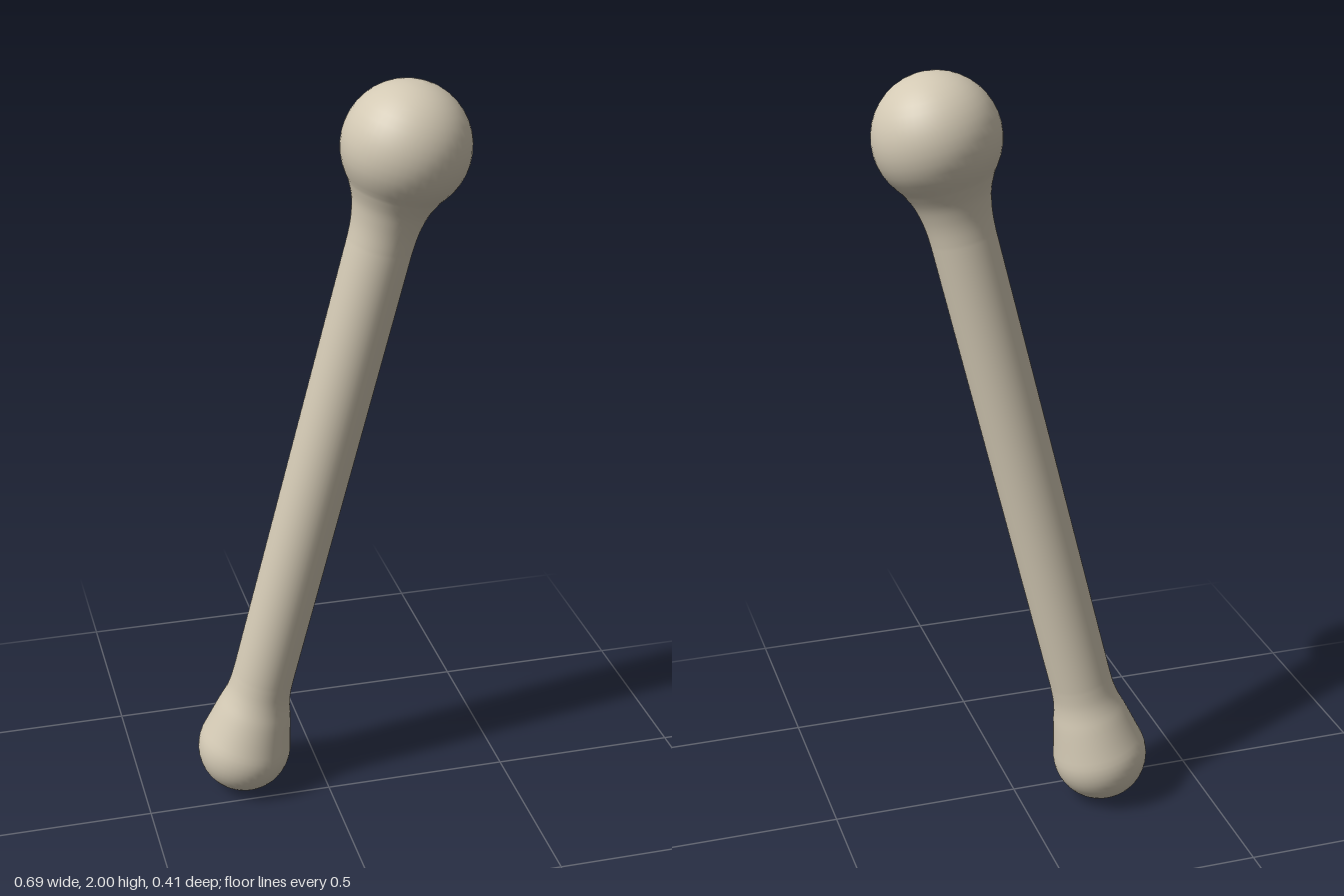
import * as THREE from 'three';

export function createModel() {
  const group = new THREE.Group();
  group.name = 'bone';
  const ivory = new THREE.MeshStandardMaterial({ color: 0xd3c9b4 });
  ivory.name = 'ivory';

  // centres and radii of the two knobs
  const low = new THREE.Vector3(-0.22, 0.127, -0.08), lowR = 0.127;
  const high = new THREE.Vector3(0.18, 1.84, 0.04), highR = 0.16;
  const axis = high.clone().sub(low);
  const length = axis.length();

  // profile along the axis, from the lower tip to the upper tip
  const profile = [];
  const arc = (r, y, from, to, steps = 14) => {
    for (let i = 0; i <= steps; i++) {
      const a = from + (to - from) * i / steps;
      profile.push(new THREE.Vector2(Math.max(0, r * Math.cos(a)), y + r * Math.sin(a)));
    }
  };
  const blend = points => {
    const curve = new THREE.SplineCurve(points.map(p => new THREE.Vector2(...p)));
    profile.push(...curve.getPoints(14));
  };

  // lower knob, flare into the shaft, flare out again, upper knob
  arc(lowR, 0, -Math.PI / 2, 0.3);
  blend([[0.116, 0.06], [0.102, 0.12], [0.091, 0.16], [0.085, 0.195], [0.083, 0.24]]);
  blend([[0.083, length - 0.26], [0.085, length - 0.22], [0.09, length - 0.185],
    [0.1, length - 0.147], [0.119, length - 0.108]]);
  arc(highR, length, -0.64, Math.PI / 2);

  const bone = new THREE.Mesh(new THREE.LatheGeometry(profile, 48), ivory);
  bone.name = 'shaftWithKnobs';
  bone.position.copy(low);
  bone.quaternion.setFromUnitVectors(new THREE.Vector3(0, 1, 0), axis.normalize());
  group.add(bone);
  return group;
}
